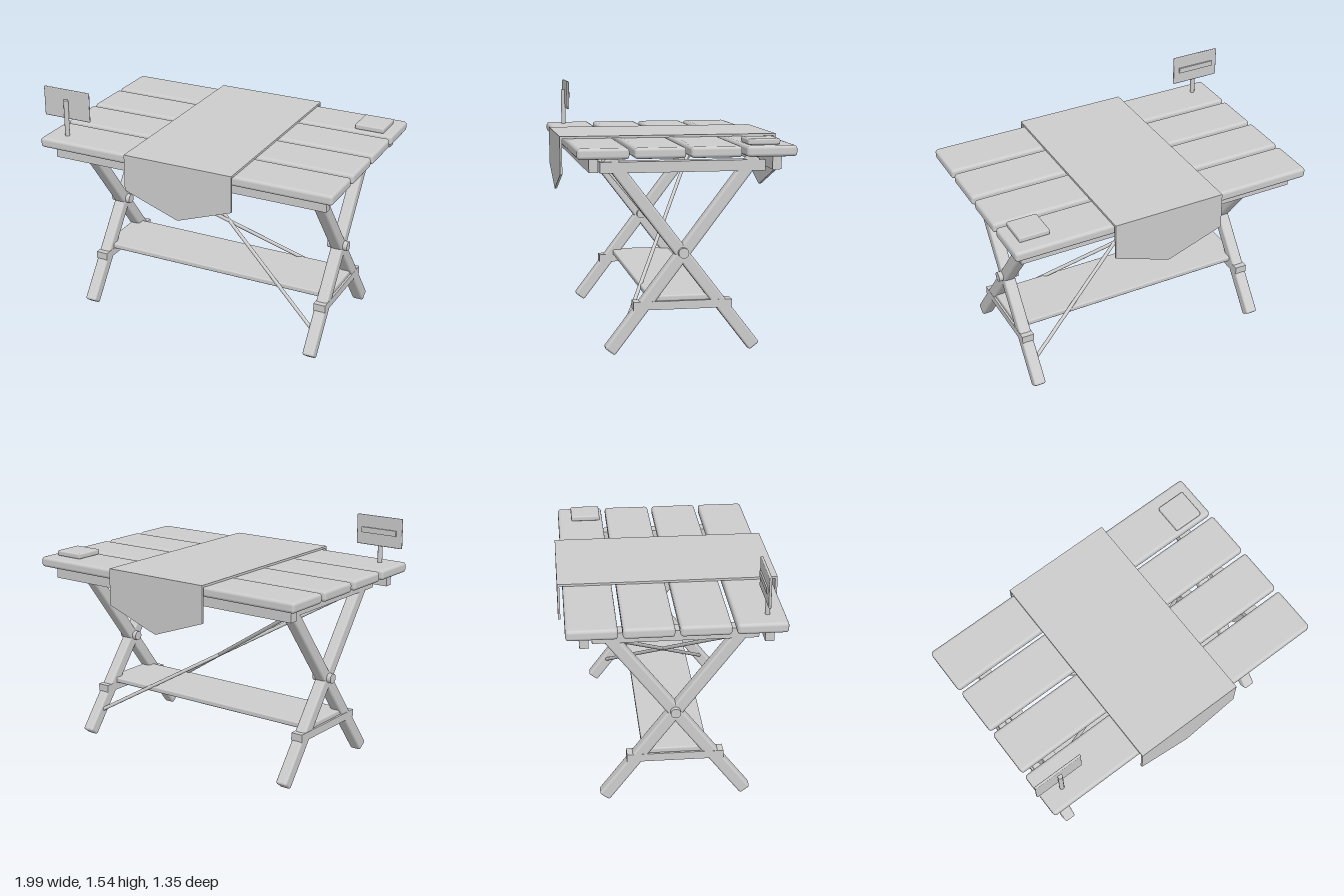
import * as THREE from 'three';
import { RoundedBoxGeometry } from 'three/addons/geometries/RoundedBoxGeometry.js';

export function createModel() {
  const model = new THREE.Group();
  model.name = 'foldingTable';
  const grey = new THREE.MeshStandardMaterial({ color: 0xcccccc });
  grey.name = 'plainGrey';

  function add(name, geometry, x = 0, y = 0, z = 0) {
    const mesh = new THREE.Mesh(geometry, grey);
    mesh.name = name;
    mesh.position.set(x, y, z);
    model.add(mesh);
    return mesh;
  }
  // Box given by its limits on each axis, with optional rounded edges
  function block(name, [x0, x1], [y0, y1], [z0, z1], r = 0) {
    const size = [x1 - x0, y1 - y0, z1 - z0];
    const geo = r ? new RoundedBoxGeometry(...size, 2, r) : new THREE.BoxGeometry(...size);
    return add(name, geo, (x0 + x1) / 2, (y0 + y1) / 2, (z0 + z1) / 2);
  }
  // Round rod between two points
  function rod(name, a, b, r) {
    const dir = b.clone().sub(a);
    const mesh = add(name, new THREE.CylinderGeometry(r, r, dir.length(), 12));
    mesh.position.copy(a).add(b).multiplyScalar(0.5);
    mesh.quaternion.setFromUnitVectors(new THREE.Vector3(0, 1, 0), dir.normalize());
    return mesh;
  }

  // Table top: four planks over two long rails
  for (const z of [-0.495, -0.168, 0.16, 0.488]) {
    block('topPlank', [-0.97, 0.992], [1.175, 1.24], [z - 0.15, z + 0.15], 0.02);
  }
  for (const s of [-1, 1]) {
    const z = s * 0.538;
    block('topRail', [-0.9, 0.93], [1.095, 1.176], [z - 0.027, z + 0.027]);
  }

  // Crossed legs at each end with batten, pivot bolt and shelf bearer
  for (const x of [-0.772, 0.8]) {
    for (const s of [-1, 1]) {
      const leg = add('leg', new RoundedBoxGeometry(0.076, 1.44, 0.076, 2, 0.014), x, 0.592, 0);
      leg.rotation.x = s * 0.652;
    }
    block('batten', [x - 0.042, x + 0.042], [1.08, 1.145], [-0.49, 0.49]);
    block('shelfBearer', [x - 0.039, x + 0.039], [0.265, 0.315], [-0.295, 0.295]);
    const bolt = add('pivotBolt', new THREE.CylinderGeometry(0.031, 0.031, 0.132, 20), x, 0.603, 0);
    bolt.rotation.z = Math.PI / 2;
  }

  // Lower shelf and crossing diagonal braces
  block('shelf', [-0.8, 0.828], [0.312, 0.348], [-0.2, 0.2], 0.01);
  for (const s of [-1, 1]) {
    rod('diagonalBrace', new THREE.Vector3(-0.75, 1.07, s * 0.36),
      new THREE.Vector3(0.8, 0.14, -s * 0.35), 0.012);
  }

  // Table runner with a pointed fall at front and back
  const cx = 0.015, hw = 0.36;
  block('runnerTop', [cx - hw, cx + hw], [1.241, 1.255], [-0.677, 0.675]);
  const fall = new THREE.Shape([
    new THREE.Vector2(-hw, 1.25), new THREE.Vector2(-hw, 1.022), new THREE.Vector2(0, 0.893),
    new THREE.Vector2(hw, 1.022), new THREE.Vector2(hw, 1.25),
  ]);
  for (const z of [-0.677, 0.661]) {
    add('runnerFall', new THREE.ExtrudeGeometry(fall, { depth: 0.014, bevelEnabled: false }), cx, 0, z);
  }

  // Small flat box on the back left corner
  block('flatBox', [0.737, 0.93], [1.24, 1.275], [-0.557, -0.365], 0.01);

  // Sign board on a post, with a raised strip on its back
  rod('signPost', new THREE.Vector3(-0.836, 1.235, 0.53), new THREE.Vector3(-0.836, 1.475, 0.53), 0.015);
  block('signBoard', [-1.0, -0.676], [1.348, 1.538], [0.505, 0.521], 0.006);
  block('signStrip', [-0.962, -0.714], [1.425, 1.46], [0.496, 0.506]);

  return model;
}
